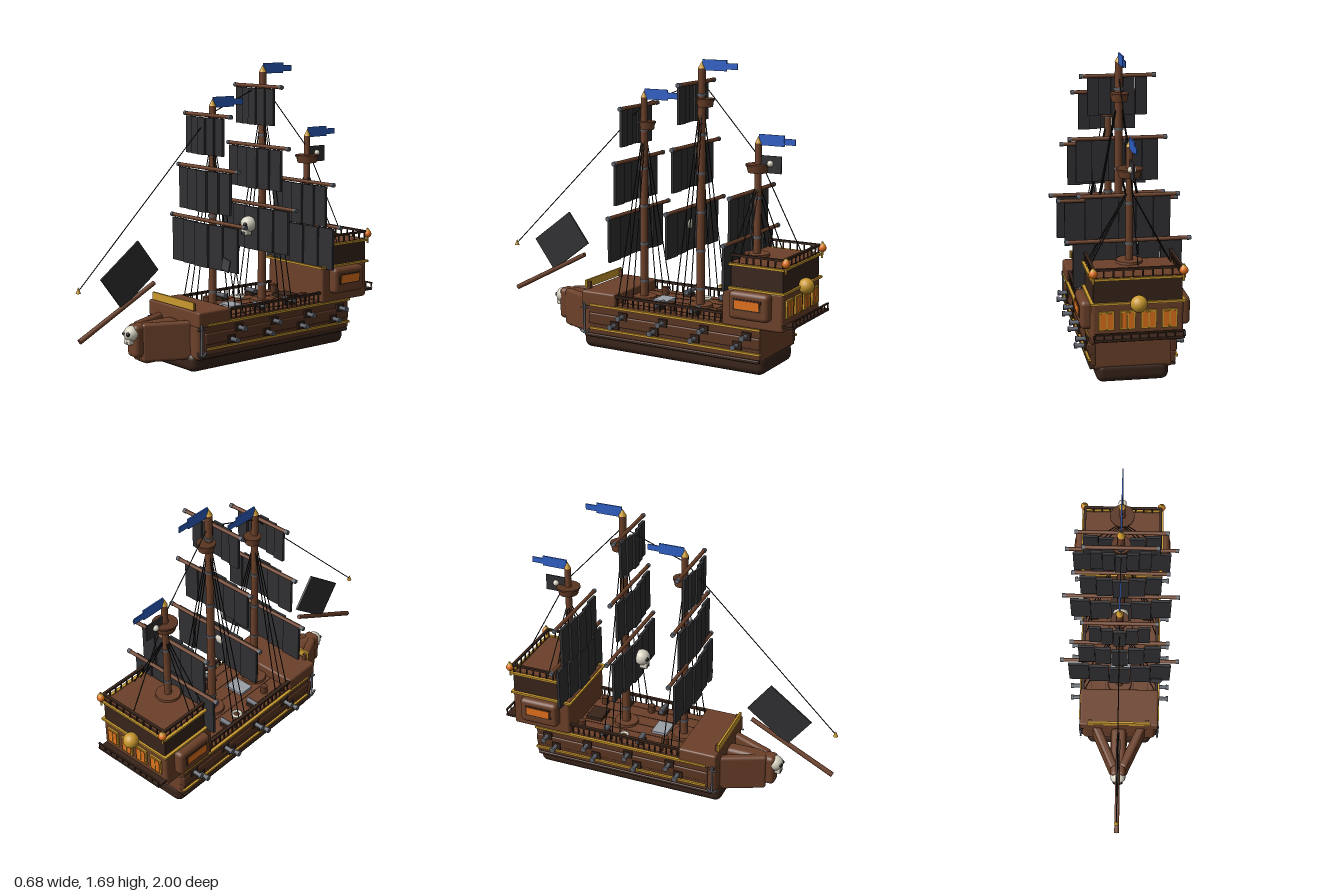
import * as THREE from 'three';
import { RoundedBoxGeometry } from 'three/addons/geometries/RoundedBoxGeometry.js';

const mat = (color) => new THREE.MeshStandardMaterial({ color });
const M = {
  wood: mat(0x6b4029), plank: mat(0x5a3522), dark: mat(0x38241a), sail: mat(0x303033), patch: mat(0x444448),
  gold: mat(0xc9992e), orange: mat(0xe0701c), blue: mat(0x2f5fc4), bone: mat(0xd8d4c4),
  iron: mat(0x5c6068), grate: mat(0x9a9ea6), black: mat(0x141414),
};
const V = (x, y, z) => new THREE.Vector3(x, y, z);

export function createModel() {
  const ship = new THREE.Group();
  ship.name = 'sailingShip';

  const add = (name, geo, m, x, y, z, parent = ship) => {
    const mesh = new THREE.Mesh(geo, m);
    mesh.name = name;
    mesh.position.set(x, y, z);
    parent.add(mesh);
    return mesh;
  };
  // boxes are given by their x, y and z ranges
  const box = (name, m, [x0, x1], [y0, y1], [z0, z1], r = 0) => {
    const s = [x1 - x0, y1 - y0, z1 - z0];
    const geo = r ? new RoundedBoxGeometry(...s, 3, r) : new THREE.BoxGeometry(...s);
    return add(name, geo, m, (x0 + x1) / 2, (y0 + y1) / 2, (z0 + z1) / 2);
  };
  // round bar between two points
  const bar = (name, m, a, b, r0, r1 = r0, sides = 8) => {
    const d = b.clone().sub(a), c = a.clone().add(b).multiplyScalar(0.5);
    const mesh = add(name, new THREE.CylinderGeometry(r1, r0, d.length(), sides), m, c.x, c.y, c.z);
    mesh.quaternion.setFromUnitVectors(V(0, 1, 0), d.normalize());
    return mesh;
  };
  const ball = (name, m, r, x, y, z) => add(name, new THREE.SphereGeometry(r, 20, 14), m, x, y, z);
  const skull = (name, r, x, y, z) => {
    ball(name, M.bone, r, x, y, z);
    box(name + 'Jaw', M.bone, [x - r * 0.55, x + r * 0.55], [y - r * 1.3, y - r * 0.5], [z - r * 0.2, z + r * 0.8], r * 0.15);
    for (const s of [-1, 1]) ball(name + 'Eye', M.black, r * 0.27, x + s * r * 0.4, y + r * 0.05, z + r * 0.8);
    for (let i = -1; i <= 1; i++)
      box(name + 'ToothGap', M.black, [x + i * r * 0.3 - r * 0.04, x + i * r * 0.3 + r * 0.04], [y - r * 1.25, y - r * 0.85], [z + r * 0.7, z + r * 0.83]);
  };
  const side = (s, a, b) => (s > 0 ? [a, b] : [-b, -a]);

  // hull
  box('keel', M.dark, [-0.195, 0.195], [0, 0.11], [-0.79, 0.375], 0.04);
  box('hull', M.wood, [-0.225, 0.225], [0.07, 0.285], [-0.785, 0.36], 0.03);
  box('deck', M.wood, [-0.225, 0.225], [0.27, 0.29], [-0.78, 0.34]);
  for (const x of [-0.17, -0.085, 0, 0.085, 0.17]) box('deckSeam', M.dark, [x - 0.002, x + 0.002], [0.285, 0.292], [-0.56, 0.13]);
  for (const s of [-1, 1]) {
    for (const [y0, y1, x] of [[0.1, 0.165, 0.23], [0.16, 0.225, 0.236], [0.22, 0.275, 0.23]])
      box('sidePlank', M.plank, side(s, 0.2, x), [y0, y1], [-0.787, 0.31], 0.008);
    for (const y of [0.135, 0.272]) box('hullTrim', M.gold, side(s, 0.225, 0.242), [y - 0.006, y + 0.006], [-0.79, 0.3]);
    box('rubbingStrake', M.dark, side(s, 0.2, 0.232), [0.08, 0.1], [-0.78, 0.34], 0.006);
    // bow cheeks
    const cheek = add('bowCheek', new RoundedBoxGeometry(0.05, 0.22, 0.3, 3, 0.018), M.wood, s * 0.085, 0.18, 0.46);
    cheek.rotation.y = -s * 0.42;
    // anchor
    bar('anchorShank', M.iron, V(s * 0.235, 0.1, 0.34), V(s * 0.235, 0.28, 0.34), 0.007);
    bar('anchorStock', M.iron, V(s * 0.235, 0.25, 0.315), V(s * 0.235, 0.25, 0.365), 0.005);
    const fluke = add('anchorFluke', new THREE.TorusGeometry(0.03, 0.006, 6, 12, Math.PI), M.iron, s * 0.235, 0.13, 0.34);
    fluke.rotation.set(Math.PI, Math.PI / 2, 0, 'YXZ');
    // main rails
    box('rail', M.dark, side(s, 0.213, 0.233), [0.332, 0.345], [-0.56, 0.14]);
    for (let i = 0; i < 20; i++) bar('railPost', M.dark, V(s * 0.223, 0.28, 0.12 - i * 0.035), V(s * 0.223, 0.335, 0.12 - i * 0.035), 0.005, 0.005, 6);
    // two staggered rows of guns
    for (let i = 0; i < 4; i++) for (const [z, y] of [[0.075, 0.23], [0.13, 0.172]]) {
      const gz = z - i * 0.2617;
      box('gunPort', M.dark, side(s, 0.225, 0.244), [y - 0.022, y + 0.022], [gz - 0.027, gz + 0.027]);
      bar('gunBarrel', M.iron, V(s * 0.225, y, gz), V(s * 0.29, y, gz), 0.014, 0.011, 12);
      bar('gunMuzzle', M.iron, V(s * 0.282, y, gz), V(s * 0.298, y, gz), 0.016, 0.016, 12);
    }
    // deck guns
    for (const z of [-0.13, -0.36]) {
      box('gunCarriage', M.dark, side(s, 0.14, 0.2), [0.285, 0.31], [z - 0.022, z + 0.022]);
      bar('deckGun', M.iron, V(s * 0.13, 0.318, z), V(s * 0.225, 0.318, z), 0.016, 0.012, 12);
    }
  }
  box('stem', M.wood, [-0.045, 0.045], [0.1, 0.285], [0.35, 0.65], 0.025);
  box('stemFoot', M.wood, [-0.05, 0.05], [0.06, 0.2], [0.33, 0.585], 0.02);
  skull('figurehead', 0.045, 0, 0.235, 0.645);

  // foredeck
  box('foredeck', M.wood, [-0.235, 0.235], [0.26, 0.35], [0.13, 0.36], 0.012);
  box('foredeckTrim', M.gold, [-0.19, 0.19], [0.355, 0.4], [0.35, 0.362]);
  for (const x of [-0.17, 0.17]) box('trimPost', M.wood, [x - 0.01, x + 0.01], [0.34, 0.39], [0.335, 0.352]);

  // deck fittings
  box('grating', M.grate, [-0.06, 0.06], [0.285, 0.305], [-0.11, -0.015]);
  box('hatch', M.dark, [-0.062, 0.062], [0.285, 0.31], [-0.535, -0.435]);
  const coil = add('ropeCoil', new THREE.TorusGeometry(0.025, 0.008, 8, 18), M.bone, -0.15, 0.298, -0.25);
  coil.rotation.x = Math.PI / 2;
  for (const [x, z] of [[0.155, -0.2], [-0.135, 0.01], [0.14, -0.5], [-0.15, -0.52]])
    add('barrel', new THREE.CylinderGeometry(0.022, 0.022, 0.05, 12), M.plank, x, 0.31, z);

  // stern castle
  box('sternCastle', M.wood, [-0.24, 0.24], [0.275, 0.49], [-0.925, -0.56], 0.015);
  box('upperCabin', M.dark, [-0.232, 0.232], [0.48, 0.62], [-0.92, -0.61]);
  box('poopDeck', M.wood, [-0.225, 0.225], [0.61, 0.627], [-0.91, -0.6]);
  const frame = (y, z0, z1) => {
    for (const s of [-1, 1]) box('castleTrim', M.gold, side(s, 0.23, 0.248), [y - 0.006, y + 0.006], [z0, z1]);
    for (const z of [z0, z1]) box('castleTrim', M.gold, [-0.248, 0.248], [y - 0.006, y + 0.006], [z - 0.006, z + 0.006]);
  };
  frame(0.49, -0.93, -0.55);
  frame(0.62, -0.927, -0.605);
  for (const s of [-1, 1]) {
    box('quarterGallery', M.wood, side(s, 0.2, 0.29), [0.33, 0.485], [-0.86, -0.62], 0.025);
    box('galleryFrame', M.dark, side(s, 0.27, 0.293), [0.385, 0.448], [-0.82, -0.655]);
    box('galleryWindow', M.orange, side(s, 0.28, 0.297), [0.393, 0.44], [-0.81, -0.665]);
    box('poopRail', M.dark, side(s, 0.222, 0.238), [0.665, 0.677], [-0.92, -0.61]);
    for (let i = 0; i < 8; i++) bar('poopPost', M.dark, V(s * 0.23, 0.62, -0.615 - i * 0.043), V(s * 0.23, 0.668, -0.615 - i * 0.043), 0.005, 0.005, 6);
    bar('lanternPost', M.gold, V(s * 0.235, 0.6, -0.937), V(s * 0.235, 0.69, -0.937), 0.006);
    ball('lantern', M.orange, 0.023, s * 0.235, 0.655, -0.937);
    add('lanternCap', new THREE.ConeGeometry(0.016, 0.02, 10), M.gold, s * 0.235, 0.683, -0.937);
  }
  box('poopRailBack', M.dark, [-0.235, 0.235], [0.665, 0.677], [-0.928, -0.912]);
  for (let i = 1; i < 9; i++) bar('poopPost', M.dark, V(-0.23 + i * 0.051, 0.62, -0.92), V(-0.23 + i * 0.051, 0.668, -0.92), 0.005, 0.005, 6);
  // stern windows and balcony
  for (let i = 0; i < 4; i++) {
    const x = -0.165 + i * 0.11;
    box('sternFrame', M.gold, [x - 0.041, x + 0.041], [0.35, 0.45], [-0.935, -0.92]);
    box('sternWindow', M.orange, [x - 0.032, x + 0.032], [0.359, 0.441], [-0.939, -0.92]);
    box('windowBar', M.gold, [x - 0.004, x + 0.004], [0.355, 0.445], [-0.942, -0.93]);
  }
  box('balconyFloor', M.dark, [-0.235, 0.235], [0.304, 0.317], [-0.985, -0.9]);
  box('balconyRail', M.dark, [-0.235, 0.235], [0.342, 0.35], [-0.985, -0.975]);
  for (let i = 0; i < 11; i++) bar('balconyPost', M.dark, V(-0.23 + i * 0.046, 0.31, -0.98), V(-0.23 + i * 0.046, 0.346, -0.98), 0.004, 0.004, 6);
  ball('sternOrnament', M.gold, 0.045, 0, 0.49, -0.95);

  // sails made of stepped strips that belly forward
  const squareSail = (z, y, half, h) => {
    bar('yard', M.wood, V(-half - 0.04, y + 0.01, z), V(half + 0.04, y + 0.01, z), 0.011, 0.011, 10);
    for (const s of [-1, 1]) bar('yardTip', M.iron, V(s * (half + 0.025), y + 0.01, z), V(s * (half + 0.045), y + 0.01, z), 0.013, 0.013, 10);
    const w = (2 * half) / 5;
    for (let i = -2; i <= 2; i++) {
      const f = z + 0.012 + (2 - Math.abs(i)) * 0.011;
      box('sailStrip', M.sail, [(i - 0.5) * w + 0.001, (i + 0.5) * w - 0.001], [y - h, y], [f, f + 0.016]);
    }
  };
  // masts: z, foot, top, radius, crow's nest [y, dz, radius], sails [y, half width, height]
  const masts = [
    [0.075, 0.28, 1.46, 0.023, [1.3, -0.02, 0.046], [[1.4, 0.165, 0.21], [1.1, 0.23, 0.235], [0.8, 0.295, 0.25]]],
    [-0.297, 0.28, 1.64, 0.025, [1.45, -0.022, 0.05], [[1.55, 0.165, 0.21], [1.205, 0.23, 0.235], [0.86, 0.295, 0.25]]],
    [-0.65, 0.48, 1.25, 0.022, [1.11, 0, 0.066], [[0.97, 0.23, 0.24], [0.725, 0.295, 0.245]]],
  ];
  for (const [z, foot, top, r, nest, sails] of masts) {
    bar('mast', M.wood, V(0, foot, z), V(0, top, z), r, r * 0.85, 12);
    add('mastCap', new THREE.ConeGeometry(r * 0.9, 0.04, 12), M.gold, 0, top + 0.02, z);
    const deckY = foot < 0.4 ? 0.295 : 0.63;
    add('mastCollar', new THREE.CylinderGeometry(0.07, 0.074, 0.02, 20), M.wood, 0, deckY, z);
    for (let y = deckY + 0.1; y < top - 0.1; y += 0.22)
      add('mastBand', new THREE.CylinderGeometry(r * 1.1, r * 1.1, 0.014, 12), M.iron, 0, y, z);
    const [ny, dz, nr] = nest;
    add('crowsNest', new THREE.CylinderGeometry(nr, nr * 0.85, 0.042, 16), M.wood, 0, ny, z + dz);
    add('crowsNestRim', new THREE.CylinderGeometry(nr * 1.07, nr * 1.07, 0.01, 16), M.plank, 0, ny + 0.02, z + dz);
    // pennant with a narrow tail
    box('pennant', M.blue, [-0.004, 0.004], [top - 0.01, top + 0.05], [z - 0.155, z - 0.005]);
    box('pennantTail', M.blue, [-0.003, 0.003], [top, top + 0.034], [z - 0.222, z - 0.155]);
    for (const [y, half, h] of sails) squareSail(z + 0.035, y, half, h);
    // shrouds
    for (const s of [-1, 1]) for (const k of [-1, 0, 1])
      bar('shroud', M.black, V(s * 0.015, top - 0.25, z + k * 0.01), V(s * 0.215, deckY, z + k * 0.05), 0.003, 0.003, 5);
  }
  skull('sailSkull', 0.047, 0, 0.76, -0.19);
  const patch = add('sailPatch', new THREE.BoxGeometry(0.065, 0.07, 0.006), M.patch, 0.215, 0.59, 0.153);
  patch.rotation.z = -0.25;

  // small dark flag on the mizzen
  box('darkFlag', M.sail, [-0.004, 0.004], [1.09, 1.185], [-0.79, -0.67]);
  for (const s of [-1, 1]) ball('flagSkull', M.bone, 0.018, s * 0.006, 1.142, -0.725);

  // bowsprit and headsail
  bar('bowsprit', M.wood, V(0, 0.5, 0.49), V(0, 0.24, 0.985), 0.013, 0.015, 10);
  const jib = add('headsail', new THREE.BoxGeometry(0.012, 0.222, 0.31), M.sail, 0, 0.565, 0.654);
  jib.rotation.x = 0.65;
  add('stayEnd', new THREE.ConeGeometry(0.014, 0.035, 10), M.gold, 0, 0.522, 0.988);

  // stays running from bow to stern
  const stays = [V(0, 0.52, 0.985), V(0, 1.42, 0.08), V(0, 1.57, -0.297), V(0, 1.18, -0.65), V(0, 0.68, -0.915)];
  for (let i = 0; i < 4; i++) bar('stay', M.black, stays[i], stays[i + 1], 0.003, 0.003, 5);

  return ship;
}
